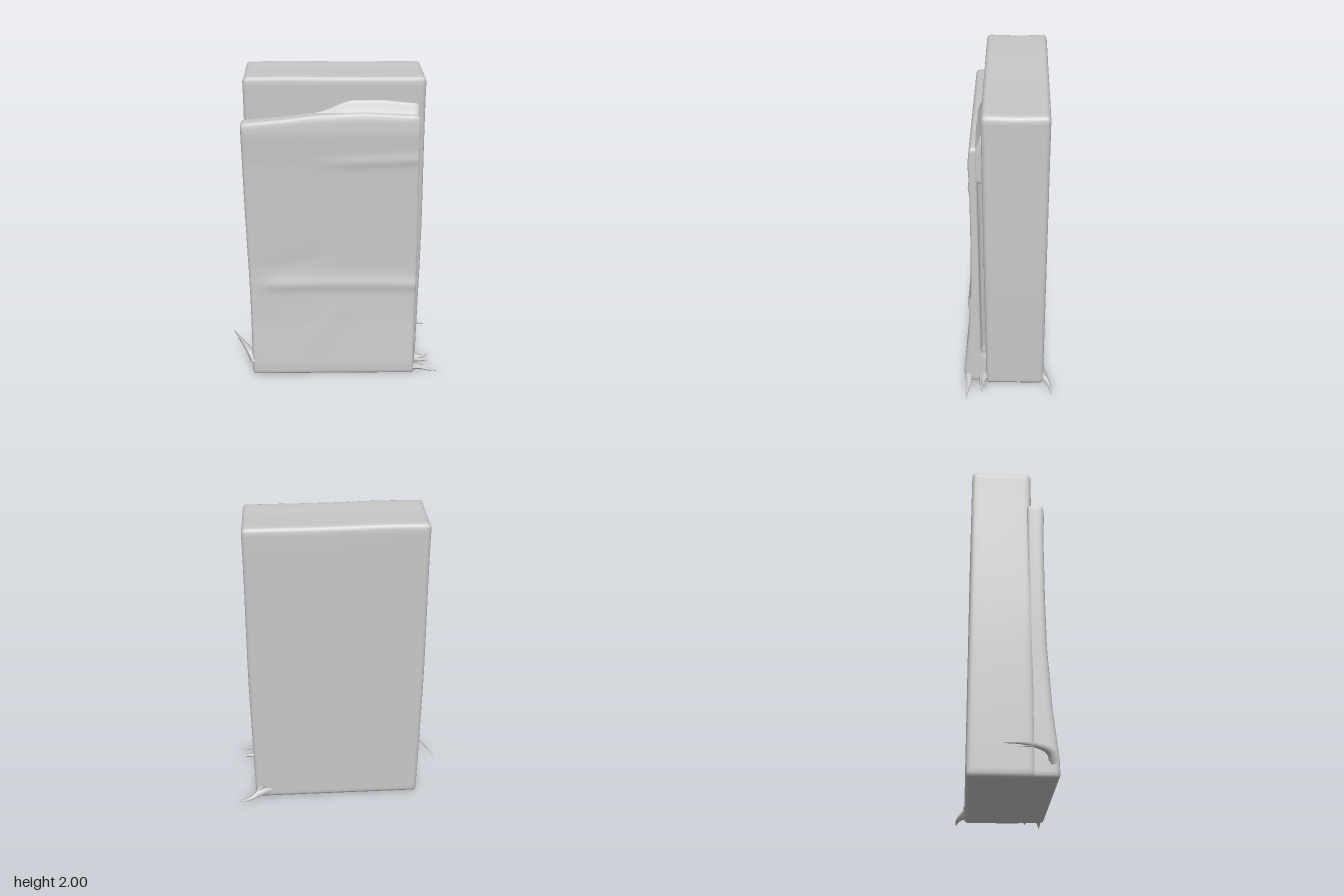
import * as THREE from 'three';
import { mergeVertices } from 'three/addons/utils/BufferGeometryUtils.js';

const lerp = THREE.MathUtils.lerp;
const smooth = THREE.MathUtils.smoothstep;
const bump = (v, centre, width) => Math.exp(-(((v - centre) / width) ** 2));

// Piecewise linear lookup through [position, value] pairs
function curve(points, v) {
  for (let i = 1; i < points.length; i++) {
    const [a, p] = points[i - 1], [b, q] = points[i];
    if (v <= b) return lerp(p, q, THREE.MathUtils.clamp((v - a) / (b - a), 0, 1));
  }
  return points[points.length - 1][1];
}

// Soft-edged block with smooth normals; rule(point) bends each vertex
function softBlock([w, h, d], [nx, ny, nz], r, rule) {
  let geo = new THREE.BoxGeometry(w, h, d, nx, ny, nz);
  geo.deleteAttribute('uv');
  geo.deleteAttribute('normal');
  geo = mergeVertices(geo, 1e-4);
  const pos = geo.attributes.position;
  const p = new THREE.Vector3(), inner = new THREE.Vector3();
  const limit = new THREE.Vector3(w / 2 - r, h / 2 - r, d / 2 - r);
  const low = limit.clone().negate();
  for (let i = 0; i < pos.count; i++) {
    p.fromBufferAttribute(pos, i);
    inner.copy(p).clamp(low, limit);
    p.sub(inner).normalize().multiplyScalar(r).add(inner);
    rule(p);
    pos.setXYZ(i, p.x, p.y, p.z);
  }
  geo.computeVertexNormals();
  return geo;
}

// Tapered tendril along a path, thick at the start and pointed at the end
function tendril(points, radius) {
  const path = new THREE.CatmullRomCurve3(points.map((a) => new THREE.Vector3(...a)));
  const rings = 16, sides = 7;
  const geo = new THREE.TubeGeometry(path, rings, radius, sides);
  const pos = geo.attributes.position, p = new THREE.Vector3();
  for (let i = 0; i < pos.count; i++) {
    const t = Math.floor(i / (sides + 1)) / rings;
    const c = path.getPointAt(t);
    p.fromBufferAttribute(pos, i).sub(c).multiplyScalar(lerp(1, 0.08, Math.pow(t, 0.6))).add(c);
    pos.setXYZ(i, p.x, p.y, p.z);
  }
  geo.computeVertexNormals();
  return geo;
}

export function createModel() {
  const group = new THREE.Group();
  const grey = new THREE.MeshStandardMaterial({ color: 0xc8c8c8 });
  grey.name = 'plainGrey';
  const add = (name, geo) => {
    const mesh = new THREE.Mesh(geo, grey);
    mesh.name = name;
    group.add(mesh);
  };

  // Tall main block, slightly wider towards the base
  add('mainBlock', softBlock([1.06, 1.99, 0.37], [44, 80, 16], 0.022, (p) => {
    p.y += 1.0;
    p.z -= 0.047;
    const low = 1 - p.y / 2;
    p.x *= 1 + 0.035 * smooth(low, 0, 0.6);
    if (p.z < -0.2) p.z -= 0.004 * low;
    if (p.y > 1.95) p.y += 0.006 * bump(p.x, -0.3, 0.25) - 0.004 * bump(p.z, -0.05, 0.1);
  }));

  // Front cover: flared foot, sloping top edge, faint creases, gap on one side
  const frontZ = [[0, 0.276], [0.1, 0.275], [0.2, 0.265], [0.4, 0.243], [0.6, 0.23],
    [0.8, 0.218], [1.1, 0.212], [1.5, 0.21], [1.68, 0.216], [1.76, 0.208], [1.85, 0.19]];
  const topY = [[-0.54, 1.745], [-0.3, 1.765], [-0.08, 1.79], [0.2, 1.802], [0.5, 1.785]];
  const rightX = [[0, 0.528], [0.3, 0.52], [1.0, 0.515], [1.8, 0.495]];
  add('frontCover', softBlock([1.06, 1.8, 0.12], [60, 90, 6], 0.02, (p) => {
    const u = p.x / 1.06 + 0.5, t = p.z / 0.12 + 0.5;
    p.y = lerp(0.005, curve(topY, p.x), p.y / 1.8 + 0.5);
    p.x = lerp(-0.55 + 0.008 * bump(p.y, 0.5, 0.5), curve(rightX, p.y), u);
    const crease = 0.012 * bump(p.y, 0.68 - 0.05 * p.x * p.x, 0.04) * smooth(u, 0, 0.2)
      + 0.008 * bump(p.y, 1.5 + 0.03 * p.x, 0.03) * smooth(u, 0.3, 0.7)
      - 0.006 * bump(p.y, 0.9 + 0.3 * p.x, 0.08) * bump(p.x, -0.25, 0.2)
      + 0.006 * bump(p.x, -0.2 + 0.4 * p.y, 0.08) * bump(p.y, 0.4, 0.15);
    const front = curve(frontZ, p.y) + crease + 0.012 * (u - 0.5) * (1 - p.y / 1.8);
    const gap = smooth(p.x, 0.43, 0.47) * smooth(p.y, 0.2, 0.26);
    p.z = lerp(lerp(0.11, 0.165, gap), front, t);
  }));

  // Raised fold behind the top edge of the cover
  add('topFold', softBlock([0.62, 0.3, 0.1], [30, 16, 6], 0.025, (p) => {
    const u = p.x / 0.62 + 0.5, v = p.y / 0.3 + 0.5, t = p.z / 0.1 + 0.5;
    p.x = lerp(-0.13, 0.495, u);
    p.y = lerp(1.55, 1.79 + 0.075 * smooth(u, 0, 0.4) - 0.02 * smooth(u, 0.6, 1), v);
    p.z = lerp(0.1, lerp(0.195, 0.15, smooth(v, 0.6, 1)), t);
  }));

  // Root-like tendrils at the foot
  [
    [[[-0.53, 0.1, 0.24], [-0.565, 0.15, 0.21], [-0.6, 0.165, 0.15], [-0.645, 0.165, 0.06], [-0.69, 0.15, -0.04]], 0.035],
    [[[-0.6, 0.165, 0.15], [-0.635, 0.15, 0.09], [-0.66, 0.14, 0.03]], 0.01],
    [[[0.46, 0.06, -0.2], [0.53, 0.05, -0.245], [0.58, 0.035, -0.275], [0.655, 0.02, -0.287]], 0.05],
    [[[0.5, 0.1, -0.21], [0.535, 0.06, -0.24], [0.56, 0.03, -0.262]], 0.04],
    [[[0.52, 0.05, 0.15], [0.57, 0.05, 0.155], [0.645, 0.06, 0.135]], 0.035],
    [[[0.53, 0.04, 0.16], [0.58, 0.035, 0.165], [0.645, 0.025, 0.165]], 0.03],
    [[[0.5, 0.05, 0.25], [0.56, 0.04, 0.25], [0.62, 0.025, 0.258], [0.69, 0.012, 0.265]], 0.035],
    [[[0.53, 0.04, 0.25], [0.57, 0.04, 0.24], [0.63, 0.035, 0.252]], 0.02],
    [[[0.53, 0.03, -0.07], [0.555, 0.03, -0.075], [0.58, 0.025, -0.07]], 0.02],
  ].forEach(([points, radius], i) => add('tendril' + (i + 1), tendril(points, radius)));

  return group;
}
